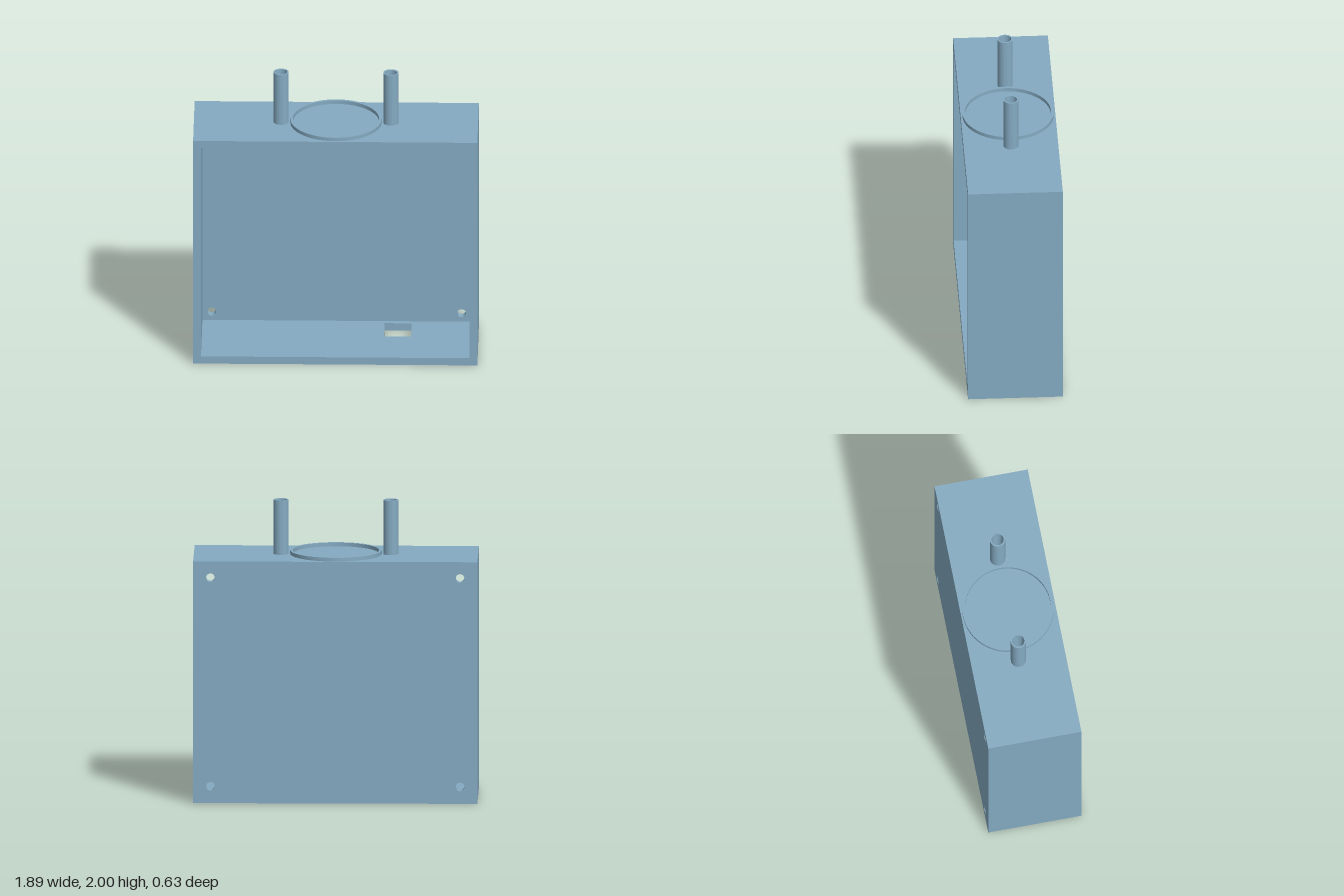
import * as THREE from 'three';
import { toCreasedNormals } from 'three/addons/utils/BufferGeometryUtils.js';

const W = 0.947, H = 1.634, D = 0.316; // half width, height, half depth
const T = 0.0526;                      // wall thickness

export function createModel() {
  const group = new THREE.Group();
  const blue = new THREE.MeshStandardMaterial({ color: 0x84aac1 });
  blue.name = 'steel blue';

  const add = (name, geometry, x = 0, y = 0, z = 0) => {
    const mesh = new THREE.Mesh(geometry, blue);
    mesh.name = name;
    mesh.position.set(x, y, z);
    group.add(mesh);
    return mesh;
  };
  const rect = (S, x0, y0, x1, y1) => new S([
    [x0, y0], [x1, y0], [x1, y1], [x0, y1],
  ].map(([x, y]) => new THREE.Vector2(x, y)));
  const extrude = (shape, depth) => toCreasedNormals(
    new THREE.ExtrudeGeometry(shape, { depth, bevelEnabled: false, curveSegments: 24 }), 0.6);
  const lathe = (points) => toCreasedNormals(
    new THREE.LatheGeometry(points.map(([r, y]) => new THREE.Vector2(r, y)), 48), 0.6);

  // Back panel with four screw holes
  const back = rect(THREE.Shape, -W, 0, W, H);
  for (const x of [-0.832, 0.832]) {
    for (const y of [0.114, 1.524]) {
      back.holes.push(new THREE.Path().absarc(x, y, 0.029, 0, Math.PI * 2, true));
    }
  }
  add('backPanel', extrude(back, T), 0, 0, -D);

  // Floor with a rectangular cable opening
  const floor = rect(THREE.Shape, -W + T, -D, W - T, D - T);
  floor.holes.push(rect(THREE.Path, 0.32, 0.02, 0.5, 0.23));
  add('floor', extrude(floor, T).rotateX(-Math.PI / 2));

  // Top and side walls; the front stays open
  const wallDepth = 2 * D - T;
  add('topWall', new THREE.BoxGeometry(2 * (W - T), T, wallDepth), 0, H - T / 2, T / 2);
  for (const [name, s] of [['leftWall', 1], ['rightWall', -1]]) {
    add(name, new THREE.BoxGeometry(T, H, wallDepth), s * (W - T / 2), H / 2, T / 2);
  }

  // Low locating ring on the top
  add('topRing', lathe([[0.305, 0], [0.305, 0.025], [0.287, 0.025], [0.287, 0]]), 0, H, 0);

  // Two upright pipes with tapered bores
  const pipeHeight = 2 - H;
  for (const [name, s] of [['leftPipe', 1], ['rightPipe', -1]]) {
    add(name, lathe([[0.051, 0], [0.051, pipeHeight], [0.04, pipeHeight], [0.026, 0.01], [0, 0.01]]),
      s * 0.366, H, 0);
  }
  return group;
}
